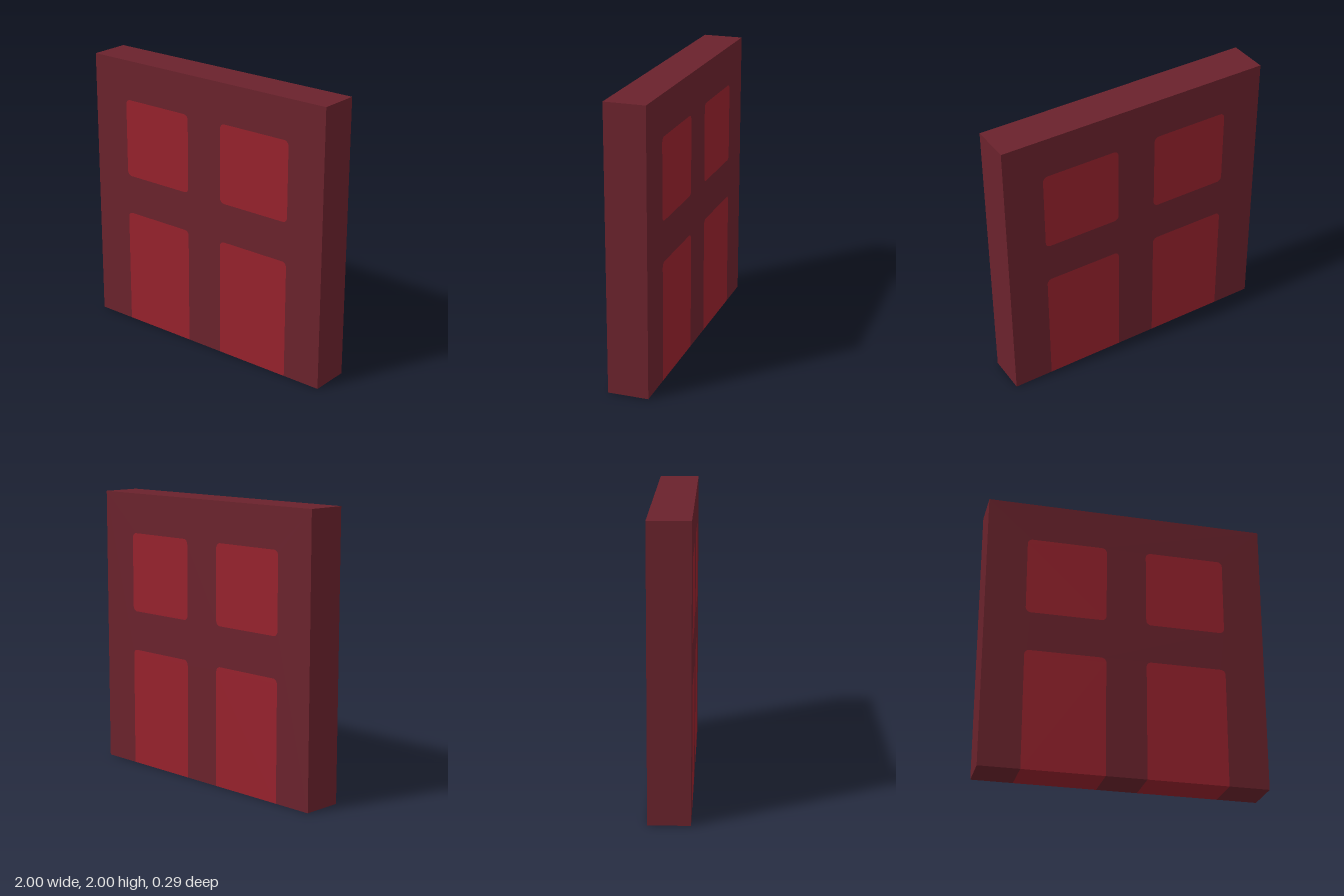
import * as THREE from 'three';

const U = 1 / 7;          // layout module: the door is 14 modules square
const DEPTH = 2 * U;
const R = 0.036;          // corner radius of the panels

// Panel outline; the lower panels run square to the floor
function tracePanel(path, x0, x1, y0, y1, squareBase) {
  const b = squareBase ? 0 : R;
  path.moveTo(x0 + b, y0);
  path.lineTo(x1 - b, y0);
  if (b) path.absarc(x1 - R, y0 + R, R, -Math.PI / 2, 0);
  path.lineTo(x1, y1 - R);
  path.absarc(x1 - R, y1 - R, R, 0, Math.PI / 2);
  path.lineTo(x0 + R, y1);
  path.absarc(x0 + R, y1 - R, R, Math.PI / 2, Math.PI);
  path.lineTo(x0, y0 + b);
  if (b) path.absarc(x0 + R, y0 + R, R, Math.PI, Math.PI * 1.5);
  return path;
}

function slab(shape, material, name) {
  const geometry = new THREE.ExtrudeGeometry(shape, { depth: DEPTH, bevelEnabled: false, curveSegments: 6 });
  geometry.translate(0, 0, -DEPTH / 2);
  const mesh = new THREE.Mesh(geometry, material);
  mesh.name = name;
  return mesh;
}

export function createModel() {
  const frameRed = new THREE.MeshStandardMaterial({ name: 'dark maroon', color: 0x6a222c });
  const panelRed = new THREE.MeshStandardMaterial({ name: 'crimson', color: 0x96212c });
  const group = new THREE.Group();
  group.name = 'panelledDoor';

  // Frame: square outline with two notches open at the floor
  const frame = new THREE.Shape();
  frame.moveTo(-1, 0);
  for (const x0 of [-5 * U, U]) {
    const x1 = x0 + 4 * U, top = 6 * U;
    frame.lineTo(x0, 0);
    frame.lineTo(x0, top - R);
    frame.absarc(x0 + R, top - R, R, Math.PI, Math.PI / 2, true);
    frame.lineTo(x1 - R, top);
    frame.absarc(x1 - R, top - R, R, Math.PI / 2, 0, true);
    frame.lineTo(x1, 0);
  }
  frame.lineTo(1, 0);
  frame.lineTo(1, 2);
  frame.lineTo(-1, 2);
  frame.closePath();

  // Panels fill the openings flush with both faces
  for (const [side, x0] of [['right', -5 * U], ['left', U]]) {
    const x1 = x0 + 4 * U;
    frame.holes.push(tracePanel(new THREE.Path(), x0, x1, 8 * U, 12 * U, false));
    group.add(slab(tracePanel(new THREE.Shape(), x0, x1, 8 * U, 12 * U, false), panelRed, side + 'UpperPanel'));
    group.add(slab(tracePanel(new THREE.Shape(), x0, x1, 0, 6 * U, true), panelRed, side + 'LowerPanel'));
  }
  group.add(slab(frame, frameRed, 'frame'));
  return group;
}
